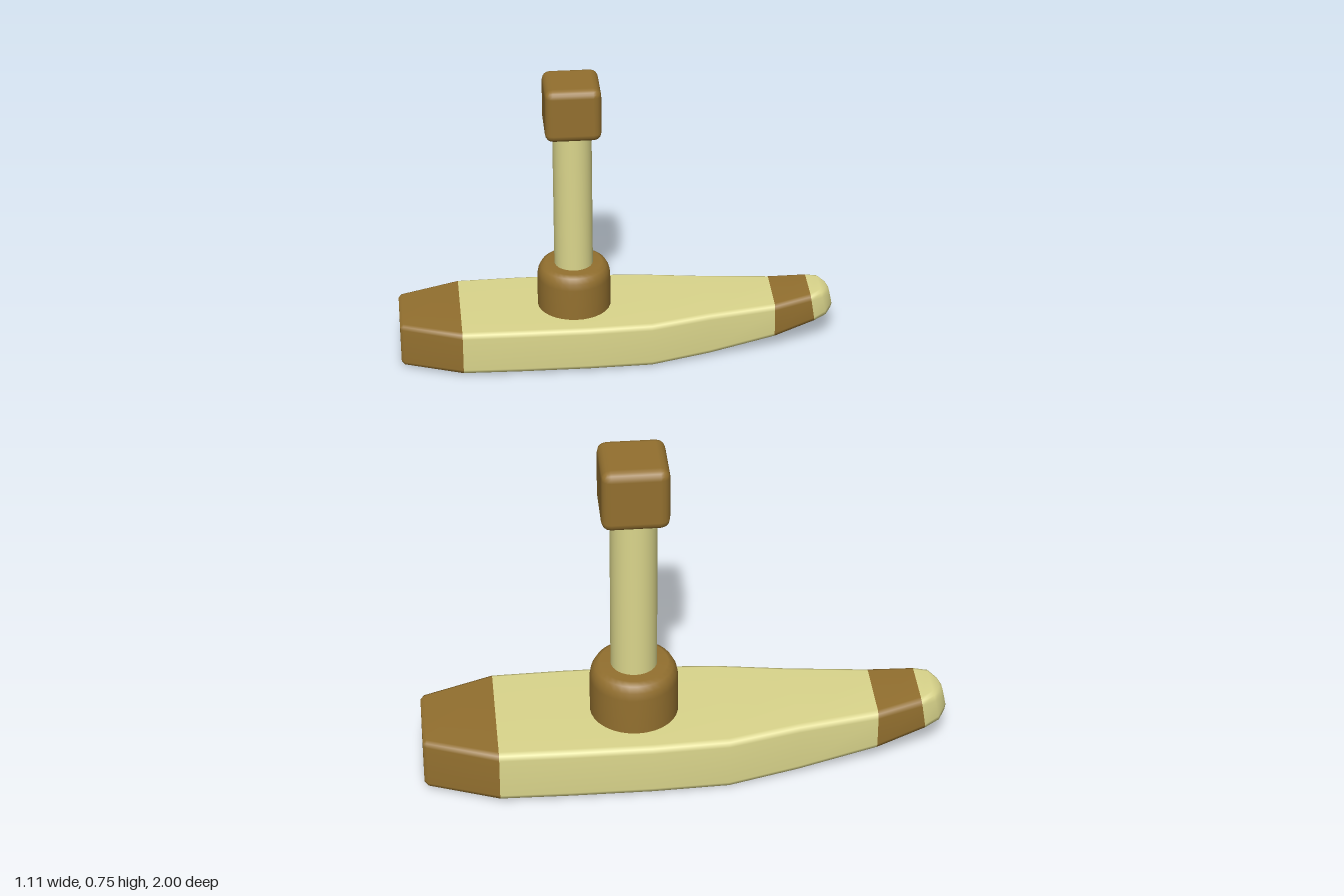
import * as THREE from 'three';
import { RoundedBoxGeometry } from 'three/addons/geometries/RoundedBoxGeometry.js';

const cream = new THREE.MeshStandardMaterial({ name: 'cream', color: 0xdbd68c });
const brown = new THREE.MeshStandardMaterial({ name: 'brown', color: 0x93702f });

// Hull stations: x, half width, bottom, top, corner radius, lean, material up to the next station
const STATIONS = [
  [-0.555, 0.078, 0.013, 0.117, 0.008, 0, 1],
  [-0.547, 0.087, 0.006, 0.123, 0.012, 0, 1],
  [-0.4, 0.144, 0.005, 0.123, 0.014, 0, 0],
  [-0.25, 0.147, 0.004, 0.123, 0.014, 0, 0],
  [-0.08, 0.147, 0.003, 0.122, 0.014, 0, 0],
  [0.08, 0.138, 0, 0.12, 0.014, 0, 0],
  [0.23, 0.108, 0.009, 0.125, 0.014, 0, 0],
  [0.4, 0.083, 0.035, 0.129, 0.014, 0, 1],
  [0.5, 0.063, 0.064, 0.141, 0.014, -0.15, 0],
  [0.53, 0.05, 0.072, 0.145, 0.016, -0.2, 0],
  [0.546, 0.028, 0.08, 0.139, 0.016, -0.2, 0],
  [0.552, 0.014, 0.086, 0.129, 0.01, -0.2, 0],
];

// Rounded rectangle ring, counterclockwise seen from +x
function ring([x, w, lo, hi, r, lean]) {
  const mid = (lo + hi) / 2, points = [];
  const corners = [[1, 1], [-1, 1], [-1, -1], [1, -1]];
  corners.forEach(([sx, sy], c) => {
    for (let k = 0; k <= 2; k++) {
      const a = (c + k / 2) * Math.PI / 2;
      const u = sx * (w - r) + r * Math.cos(a);
      const y = mid + sy * ((hi - lo) / 2 - r) + r * Math.sin(a);
      points.push([x + lean * (y - mid), y, -u]);
    }
  });
  return points;
}

function hullGeometry() {
  const geo = new THREE.BufferGeometry();
  const pos = [], idx = [], n = 12;
  const rings = STATIONS.map(ring);
  rings.forEach(r => r.forEach(p => pos.push(...p)));
  for (let i = 0; i < rings.length - 1; i++) {
    geo.addGroup(idx.length, n * 6, STATIONS[i][6]);
    for (let j = 0; j < n; j++) {
      const a = i * n + j, b = i * n + (j + 1) % n;
      idx.push(a, b, a + n, b, b + n, a + n);
    }
  }
  // Flat end caps with their own vertices
  [[rings[0], true, 1], [rings[rings.length - 1], false, 0]].forEach(([r, flip, mat]) => {
    const base = pos.length / 3;
    r.forEach(p => pos.push(...p));
    geo.addGroup(idx.length, (n - 2) * 3, mat);
    for (let j = 1; j < n - 1; j++) {
      idx.push(base, base + (flip ? j + 1 : j), base + (flip ? j : j + 1));
    }
  });
  geo.setAttribute('position', new THREE.Float32BufferAttribute(pos, 3));
  geo.setIndex(idx);
  geo.computeVertexNormals();
  return geo;
}

function add(parent, name, geometry, material, x = 0, y = 0) {
  const mesh = new THREE.Mesh(geometry, material);
  mesh.name = name;
  mesh.position.set(x, y, 0);
  parent.add(mesh);
}

export function createModel() {
  const model = new THREE.Group();
  model.name = 'model';

  const hull = hullGeometry();
  const collarProfile = [[0.093, 0.1], [0.093, 0.205], [0.09, 0.222], [0.083, 0.235], [0.072, 0.241], [0, 0.241]]
    .map(([r, y]) => new THREE.Vector2(r, y));
  const collar = new THREE.LatheGeometry(collarProfile, 32);
  const post = new THREE.CylinderGeometry(0.049, 0.049, 0.4, 32);
  const head = new RoundedBoxGeometry(0.14, 0.14, 0.14, 2, 0.02);

  // One floating foot with its post on each side
  for (const side of [1, -1]) {
    const float = new THREE.Group();
    float.name = side > 0 ? 'frontFloat' : 'backFloat';
    float.position.z = side * 0.853;
    add(float, 'hull', hull, [cream, brown]);
    add(float, 'collar', collar, brown, -0.108);
    add(float, 'post', post, cream, -0.108, 0.43);
    add(float, 'postHead', head, brown, -0.108, 0.681);
    model.add(float);
  }
  return model;
}
